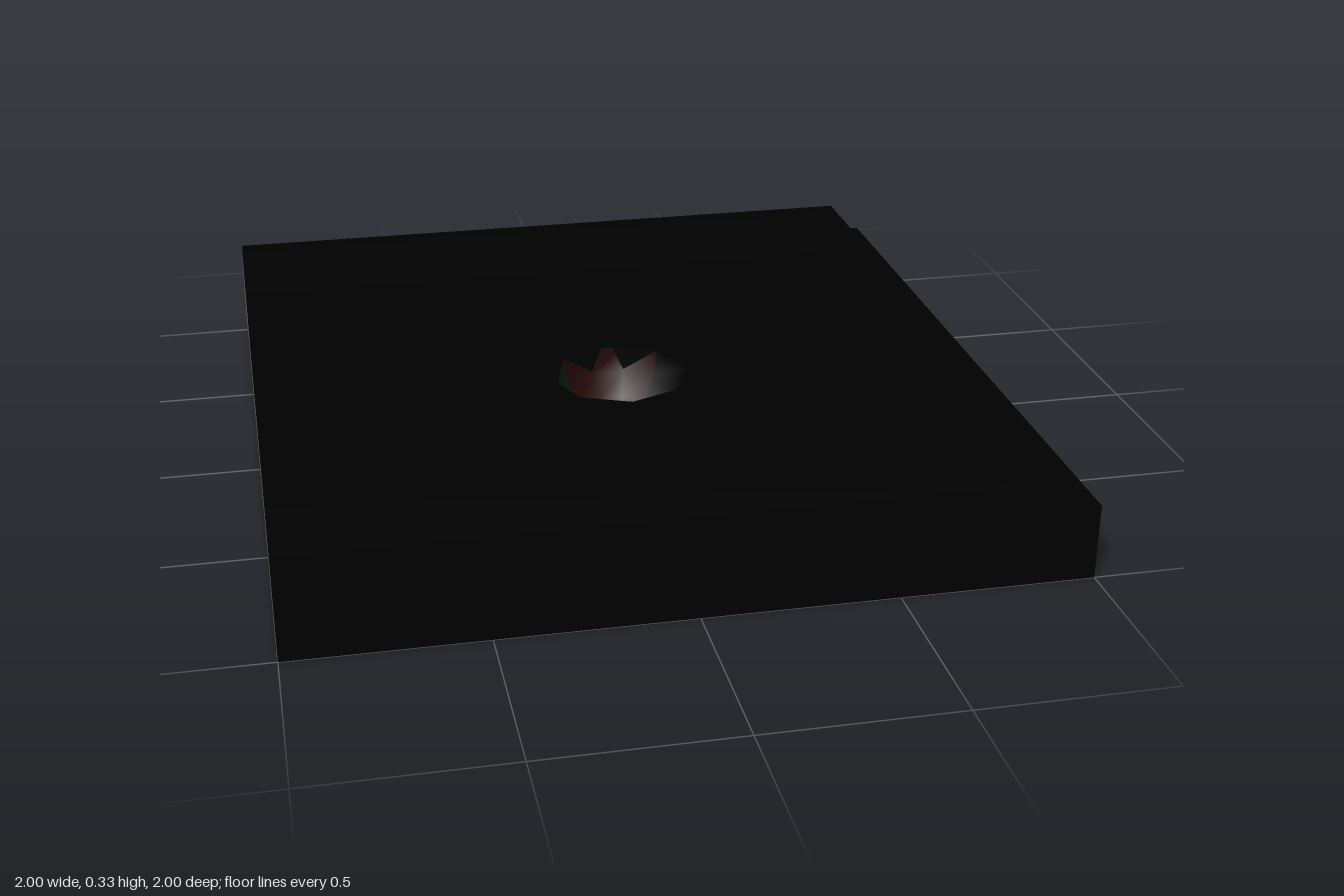
import * as THREE from 'three';

const BOWL_RADIUS = 0.19;
const paint = (color, side = THREE.FrontSide) => new THREE.MeshStandardMaterial({ color, side });

// Flat outline in plan, raised from y = bottom by the given height
function slab(name, shape, bottom, height, material) {
  const geometry = new THREE.ExtrudeGeometry(shape, { depth: height, bevelEnabled: false });
  geometry.rotateX(-Math.PI / 2);
  const mesh = new THREE.Mesh(geometry, material);
  mesh.name = name;
  mesh.position.y = bottom;
  return mesh;
}

const outline = (points) => new THREE.Shape(points.map(([x, y]) => new THREE.Vector2(x, y)));

export function createModel() {
  const group = new THREE.Group();
  group.name = 'tray';
  const black = paint(0x000000);

  // Thin underside that closes the base
  const square = [[-1, -1], [1, -1], [1, 1], [-1, 1]];
  group.add(slab('underside', outline(square), 0, 0.01, black));

  // Base with an octagonal opening
  const base = outline(square);
  const opening = Array.from({ length: 8 }, (_, i) => {
    const a = -i * Math.PI / 4;
    return new THREE.Vector2(BOWL_RADIUS * Math.cos(a), BOWL_RADIUS * Math.sin(a));
  });
  base.holes.push(new THREE.Path(opening));
  group.add(slab('base', base, 0.01, 0.19, black));

  // Rim on three sides, open at -x
  const outer = 0.865, inner = 0.8;
  const rim = outline([
    [-1, -outer], [outer, -outer], [outer, outer], [-1, outer],
    [-1, inner], [inner, inner], [inner, -inner], [-1, -inner],
  ]);
  group.add(slab('rim', rim, 0.2, 0.133, black));

  // Sunken eight-sided bowl, tinted in sectors
  const bowl = new THREE.Group();
  bowl.name = 'bowl';
  const sectors = [
    ['bowlDark', 1, 4, 0x000000],
    ['bowlRed', 5, 2, 0x220505],
    ['bowlGreen', 7, 2, 0x081c08],
  ];
  for (const [name, start, count, color] of sectors) {
    const step = Math.PI / 4;
    const geometry = new THREE.SphereGeometry(
      BOWL_RADIUS, count, 4, start * step, count * step, Math.PI / 2, Math.PI / 2);
    const mesh = new THREE.Mesh(geometry, paint(color, THREE.DoubleSide));
    mesh.name = name;
    bowl.add(mesh);
  }
  bowl.position.y = 0.2;
  group.add(bowl);

  return group;
}
